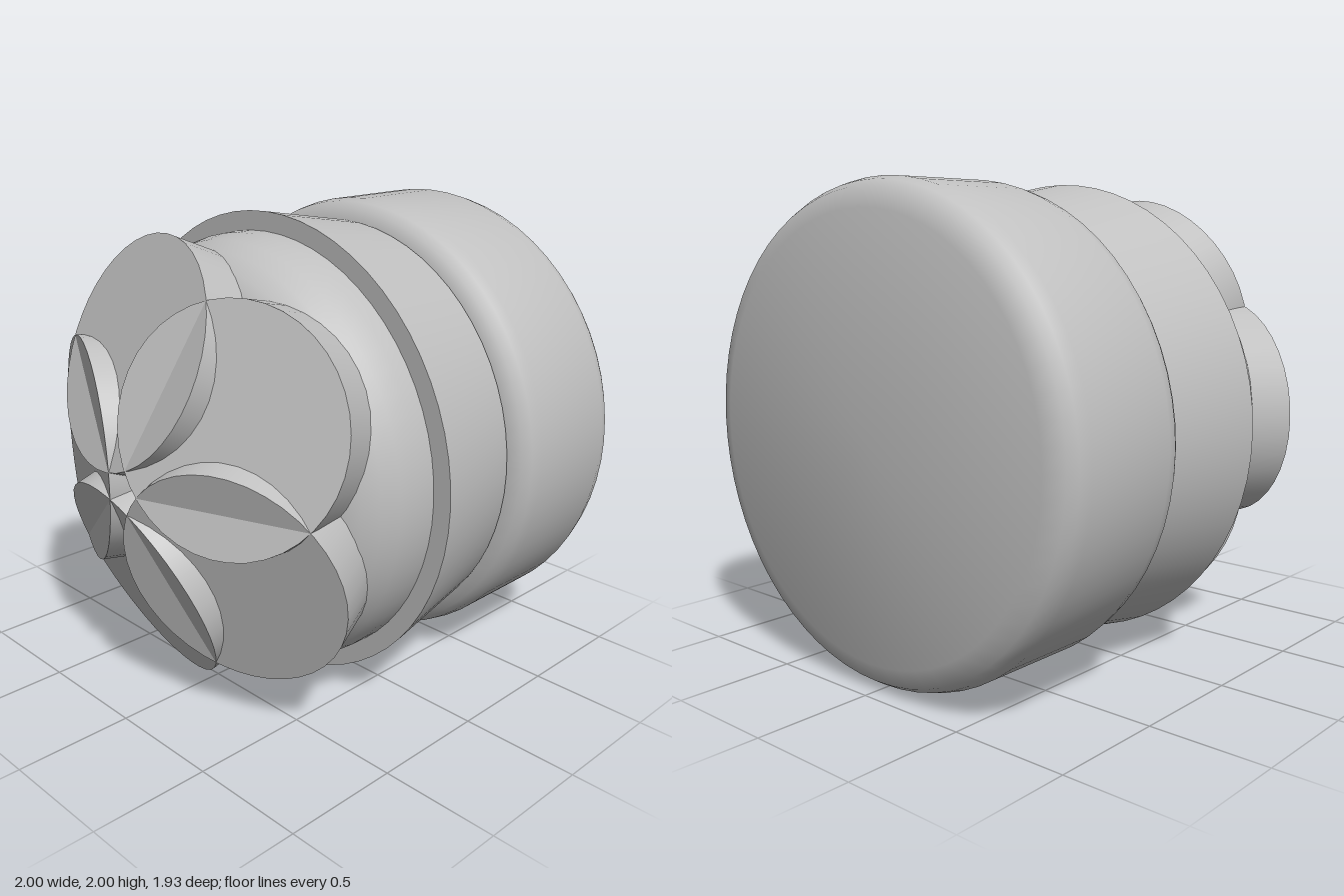
import * as THREE from 'three';
import { toCreasedNormals } from 'three/addons/utils/BufferGeometryUtils.js';

export function createModel() {
  const model = new THREE.Group();
  const grey = new THREE.MeshStandardMaterial({ color: 0xc0c0c0 });
  grey.name = 'plain grey';

  function add(name, geometry, crease) {
    const mesh = new THREE.Mesh(toCreasedNormals(geometry, crease), grey);
    mesh.name = name;
    mesh.position.y = 1;
    model.add(mesh);
  }

  // Turned part: [radius, z] pairs from back to front, spun about the z axis
  function turned(name, profile, crease = 0.5) {
    const points = profile.map(([r, z]) => new THREE.Vector2(r, z));
    add(name, new THREE.LatheGeometry(points, 64).rotateX(Math.PI / 2), crease);
  }

  // Thick rounded cap at the back
  turned('backCap', [
    [0, -0.97], [0.88, -0.97], [0.96, -0.94], [0.985, -0.9], [1, -0.85],
    [1, -0.4], [0.99, -0.35], [0.965, -0.31], [0.9, -0.285], [0, -0.285],
  ], 0.75);

  // Collar that widens towards the front
  turned('flaredCollar', [[0, -0.275], [0.92, -0.275], [1, 0.185], [0, 0.185]]);

  // Domed body behind the petals
  turned('domedBody', [
    [0, -0.3], [0.9, -0.3], [0.92, 0.15], [0.918, 0.26], [0.9, 0.35],
    [0.865, 0.42], [0.82, 0.48], [0.75, 0.53], [0.6, 0.58], [0, 0.6],
  ], 0.6);

  // Five overlapping round petals, each tilted outwards
  const depth = 0.42;
  const tilt = THREE.MathUtils.degToRad(24);
  for (let i = 0; i < 5; i++) {
    const disc = new THREE.CylinderGeometry(0.485, 0.485, depth, 40)
      .rotateX(Math.PI / 2)
      .translate(0, 0, -depth / 2)
      .rotateY(tilt)
      .translate(0.517, 0, 0.765)
      .rotateZ(Math.PI + (i * Math.PI * 2) / 5);
    add(`petal${i + 1}`, disc, 0.6);
  }

  return model;
}
